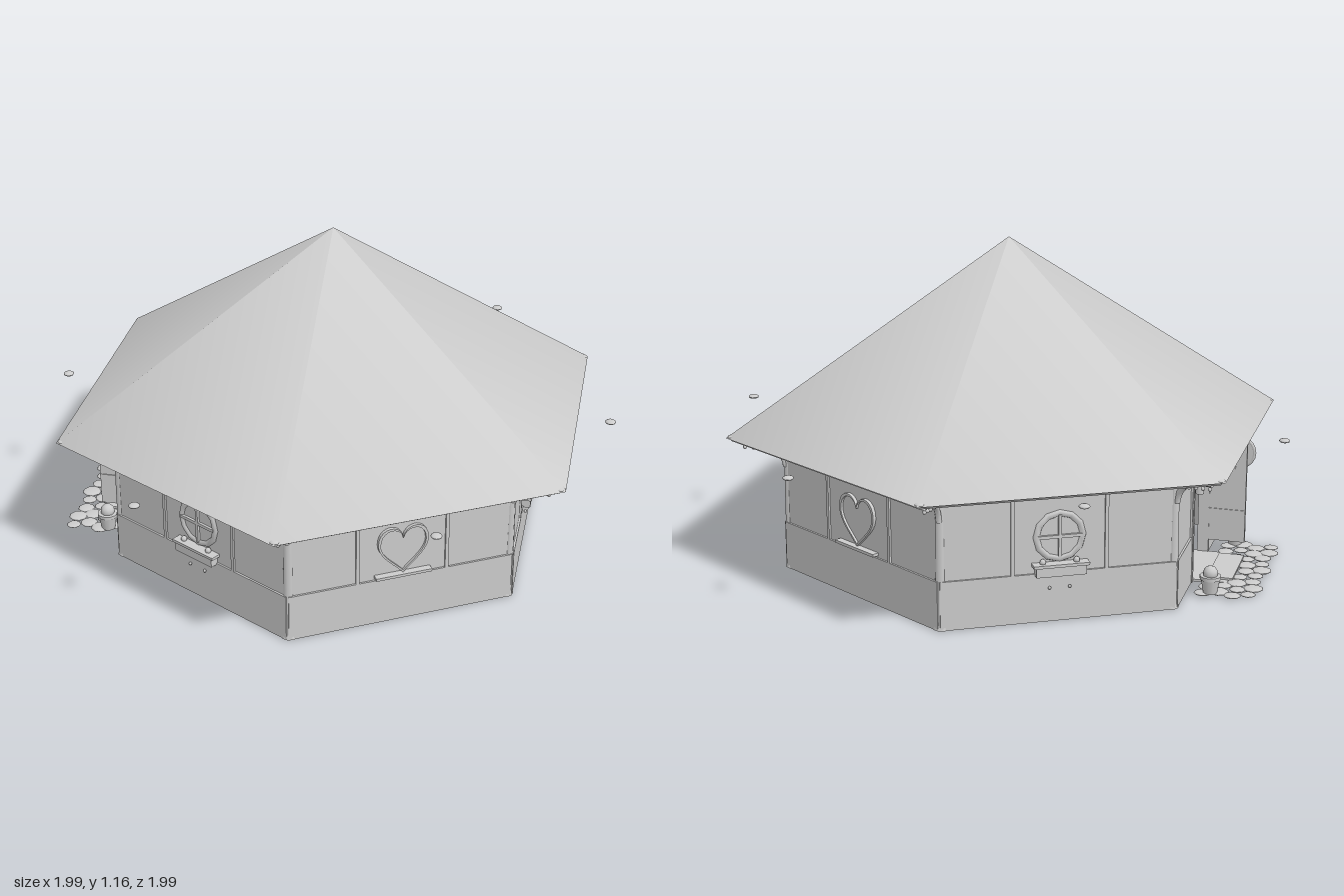
import * as THREE from 'three';

export function createModel() {
  const clay = new THREE.MeshStandardMaterial({ color: 0xcccccc, side: THREE.DoubleSide });
  clay.name = 'light grey';
  const model = new THREE.Group();
  model.name = 'hexagonalHut';
  const rad = THREE.MathUtils.degToRad;
  const TWIST = rad(-10);           // angle of the first corner, measured from +z
  const WALL = 0.69, TOP = 0.48, APRON = 0.17;

  const add = (parent, name, geo, x = 0, y = 0, z = 0, rx = 0, ry = 0, rz = 0) => {
    const m = new THREE.Mesh(geo, clay);
    m.name = name;
    m.position.set(x, y, z);
    m.rotation.set(rx, ry, rz);
    parent.add(m);
    return m;
  };
  const box = (w, h, d) => new THREE.BoxGeometry(w, h, d);
  // group whose +z points outward at the given angle
  const spoke = (name, angle) => {
    const g = new THREE.Group();
    g.name = name;
    g.rotation.y = angle;
    model.add(g);
    return g;
  };
  const extrude = (shape, depth) =>
    new THREE.ExtrudeGeometry(shape, { depth, bevelEnabled: false, curveSegments: 10 });

  // heart outline, s = half width, centred on the origin
  const heart = (s, path = new THREE.Shape()) => {
    path.moveTo(0, -s);
    path.bezierCurveTo(-0.35 * s, -0.6 * s, -s, -0.2 * s, -s, 0.35 * s);
    path.bezierCurveTo(-s, 1.15 * s, -0.1 * s, 1.15 * s, 0, 0.55 * s);
    path.bezierCurveTo(0.1 * s, 1.15 * s, s, 1.15 * s, s, 0.35 * s);
    path.bezierCurveTo(s, -0.2 * s, 0.35 * s, -0.6 * s, 0, -s);
    return path;
  };
  const heartFrame = (s, t, depth) => {
    const shape = heart(s);
    shape.holes.push(heart(s - t, new THREE.Path()));
    return extrude(shape, depth);
  };

  // roof
  add(model, 'roof', new THREE.ConeGeometry(1.01, 0.663, 6, 1, true, TWIST), 0, 0.8235, 0);
  add(model, 'eaveFascia', new THREE.CylinderGeometry(1.0, 0.99, 0.014, 6, 1, true, TWIST), 0, 0.487, 0);
  add(model, 'soffit', new THREE.RingGeometry(0.8, 0.99, 6, 1), 0, TOP, 0, Math.PI / 2, 0, Math.PI / 2 - TWIST);

  // flat knobs around the eaves
  for (let i = 0; i < 12; i++) {
    const a = TWIST + i * Math.PI / 6, r = i % 2 ? 0.99 : 0.985;
    const k = add(model, 'eaveKnob', new THREE.SphereGeometry(0.019, 12, 8),
      r * Math.sin(a), 0.495, r * Math.cos(a));
    k.scale.y = 0.4;
  }

  const roundWindow = (g) => {
    const y = 0.295, z = WALL + 0.004;
    add(g, 'windowRing', new THREE.TorusGeometry(0.079, 0.015, 6, 12), 0, y, z);
    add(g, 'windowPane', new THREE.CylinderGeometry(0.075, 0.075, 0.024, 12), 0, y, z - 0.004, Math.PI / 2);
    add(g, 'windowBar', box(0.011, 0.15, 0.014), 0, y, z + 0.01);
    add(g, 'windowBar', box(0.15, 0.011, 0.014), 0, y, z + 0.01);
    add(g, 'flowerBox', box(0.17, 0.035, 0.035), 0, 0.182, z + 0.02);
    add(g, 'flowerBoxRim', box(0.19, 0.01, 0.045), 0, 0.202, z + 0.02);
    for (const x of [-0.06, 0.055]) {
      add(g, 'sprig', new THREE.SphereGeometry(0.011, 8, 6), x, 0.212, z + 0.02);
      add(g, 'boxPeg', new THREE.SphereGeometry(0.006, 6, 4), x * 0.6, 0.12, WALL + 0.022);
    }
  };
  const heartWindow = (g) => {
    add(g, 'heartFrame', heartFrame(0.09, 0.009, 0.014), 0, 0.277, WALL + 0.008);
    add(g, 'heartPane', extrude(heart(0.084), 0.004), 0, 0.277, WALL + 0.009);
    add(g, 'heartSill', box(0.2, 0.01, 0.03), 0, 0.183, WALL + 0.02);
  };

  // six wall sides; the fifth holds the doorway
  for (let i = 0; i < 6; i++) {
    const g = spoke(i === 4 ? 'doorSide' : 'wallSide', rad(20 + 60 * i));
    if (i === 4) buildDoorSide(g);
    else {
      add(g, 'wallPanel', box(0.8, TOP, 0.02), 0, TOP / 2, WALL);
      add(g, 'apron', box(0.805, APRON, 0.026), 0, APRON / 2, WALL + 0.004);
      if (i % 2) roundWindow(g); else heartWindow(g);
    }
    for (const s of [-1, 1]) {
      add(g, 'panelStrip', box(0.012, TOP - APRON, 0.01), s * 0.16, (TOP + APRON) / 2, WALL + 0.012);
      add(g, 'wallPeg', new THREE.SphereGeometry(0.009, 8, 6), s * 0.138, 0.448, WALL + 0.016);
      add(g, 'wallPeg', new THREE.SphereGeometry(0.007, 8, 6), s * 0.3, 0.45, WALL + 0.014);
    }
    add(g, 'topRail', box(0.8, 0.014, 0.032), 0, TOP - 0.007, WALL);
    for (let k = 0; k < 8; k++)
      add(g, 'eaveBulb', new THREE.SphereGeometry(0.006, 6, 4), -0.385 + k * 0.11, TOP - 0.003, 0.8);
  }

  // corner posts with feet, caps and curved roof brackets
  const bracket = new THREE.TubeGeometry(new THREE.QuadraticBezierCurve3(
    new THREE.Vector3(0, 0.375, 0.805), new THREE.Vector3(0, 0.47, 0.815), new THREE.Vector3(0, 0.474, 0.955)), 12, 0.011, 6);
  for (let i = 0; i < 6; i++) {
    const g = spoke('corner', TWIST + i * Math.PI / 3);
    add(g, 'cornerPost', new THREE.CylinderGeometry(0.017, 0.019, TOP, 8), 0, TOP / 2, 0.793);
    add(g, 'postFoot', new THREE.CylinderGeometry(0.02, 0.029, 0.04, 8), 0, 0.02, 0.787);
    add(g, 'postCap', new THREE.CylinderGeometry(0.026, 0.019, 0.03, 8), 0, TOP - 0.016, 0.79);
    add(g, 'roofBracket', bracket);
    for (let k = 0; k < 4; k++)
      add(g, 'bracketBead', new THREE.SphereGeometry(0.007, 6, 5), 0, 0.44 + k * 0.005, 0.855 + k * 0.03);
  }

  function buildDoorSide(g) {
    // wall with a doorway cut through it
    const wall = (w, h, depth, cut) => {
      const s = new THREE.Shape();
      s.moveTo(-w / 2, 0); s.lineTo(-0.145, 0); s.lineTo(-0.145, cut); s.lineTo(0.145, cut);
      s.lineTo(0.145, 0); s.lineTo(w / 2, 0); s.lineTo(w / 2, h); s.lineTo(-w / 2, h);
      return extrude(s, depth);
    };
    add(g, 'doorWall', wall(0.8, TOP, 0.02, 0.435), 0, 0, WALL - 0.01);
    for (const s of [-1, 1]) {
      add(g, 'apron', box(0.25, APRON, 0.026), s * 0.275, APRON / 2, WALL + 0.004);
      add(g, 'doorJamb', box(0.02, 0.44, 0.04), s * 0.15, 0.22, WALL);
      // potted plants and lanterns on either side
      add(g, 'pot', new THREE.CylinderGeometry(0.034, 0.024, 0.055, 12), s * 0.25, 0.035, 0.79);
      add(g, 'potRim', new THREE.CylinderGeometry(0.037, 0.037, 0.012, 12), s * 0.25, 0.065, 0.79);
      add(g, 'plant', new THREE.IcosahedronGeometry(0.026, 1), s * 0.25, 0.08, 0.79);
      add(g, 'lantern', new THREE.CylinderGeometry(0.016, 0.016, 0.05, 8), s * 0.2, 0.37, 0.735);
      add(g, 'lanternCap', new THREE.ConeGeometry(0.022, 0.02, 8), s * 0.2, 0.405, 0.735);
      add(g, 'lanternArm', box(0.008, 0.008, 0.05), s * 0.2, 0.412, 0.715);
    }
    add(g, 'doorLintel', box(0.32, 0.02, 0.04), 0, 0.44, WALL);

    // open door leaf with a little heart
    add(g, 'doorLeaf', box(0.016, 0.37, 0.13), 0.15, 0.24, 0.775);
    add(g, 'doorRail', box(0.022, 0.012, 0.13), 0.15, 0.17, 0.775);
    add(g, 'doorHeart', heartFrame(0.026, 0.005, 0.024), 0.138, 0.33, 0.775, 0, Math.PI / 2);

    // round hanging sign
    add(g, 'signDisc', new THREE.CylinderGeometry(0.056, 0.056, 0.012, 20), 0.27, 0.355, 0.79, 0, 0, Math.PI / 2);
    add(g, 'signRing', new THREE.TorusGeometry(0.056, 0.007, 6, 20), 0.27, 0.355, 0.79, 0, Math.PI / 2);
    add(g, 'signArm', box(0.01, 0.01, 0.13), 0.27, 0.425, 0.755);

    // threshold, mat and stone path
    add(g, 'threshold', box(0.29, 0.008, 0.24), 0, 0.005, 0.71);
    add(g, 'doorMat', box(0.24, 0.008, 0.09), 0, 0.012, 0.8);
    for (let r = 0; r < 4; r++) {
      for (let k = 0; k < 9; k++) {
        const x = -0.24 + k * 0.06 + (r % 2 ? 0.012 : -0.012);
        if (r < 2 && Math.abs(x) < 0.14) continue;
        const size = 0.031 + 0.005 * Math.sin(k * 2.3 + r * 1.7);
        const stone = add(g, 'pathStone', new THREE.SphereGeometry(size, 9, 6), x, 0.006,
          0.765 + r * 0.051 + 0.008 * Math.sin(k * 1.9));
        stone.scale.y = 0.2;
      }
    }
  }
  return model;
}
